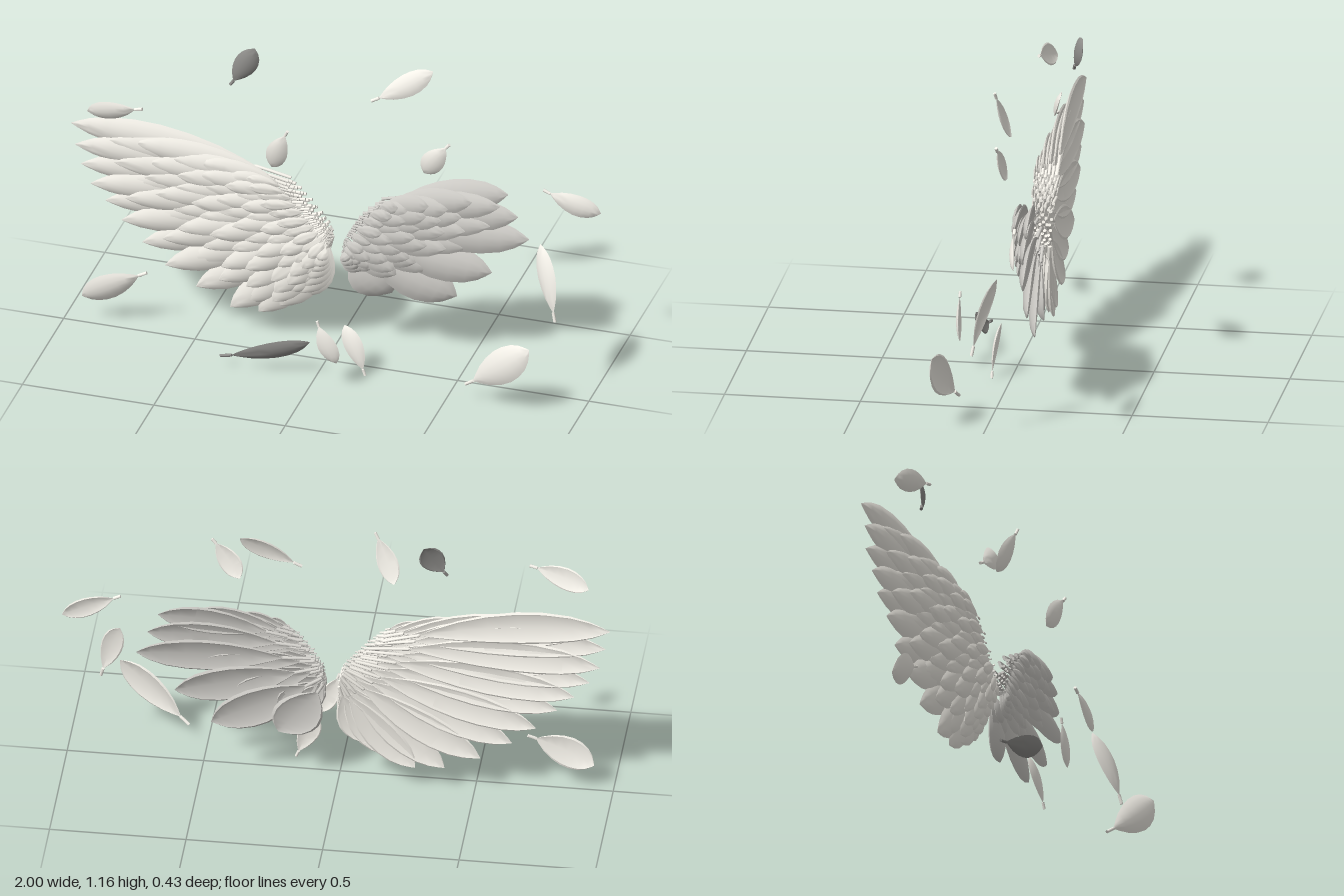
import * as THREE from 'three';
import { toCreasedNormals } from 'three/addons/utils/BufferGeometryUtils.js';

const V = (x, y, z = 0) => new THREE.Vector3(x, y, z);
const lerp = THREE.MathUtils.lerp;
const paint = (color) => new THREE.MeshStandardMaterial({ color, side: THREE.DoubleSide });
const white = paint(0xf5f2ea), pale = paint(0xcfcdc8), grey = paint(0x8e8d8a);

// Blade outline: position along the blade, share of the half width
const OUTLINE = [[0, 0.06], [0.07, 0.28], [0.2, 0.62], [0.36, 0.88], [0.52, 1], [0.66, 0.97],
  [0.8, 0.8], [0.9, 0.52], [0.96, 0.24], [1, 0.01]];
// Cross-section: domed front, dished back inside a thin rim
const SECTION = [[1, 0], [0.8, 0.15], [0.45, 0.34], [0, 0.42], [-0.45, 0.34], [-0.8, 0.15], [-1, 0],
  [-0.88, -0.1], [-0.75, -0.02], [0, 0.12], [0.75, -0.02], [0.88, -0.1]];

// Feather along +y with its front facing +z
function featherGeometry(length, width, quill, bend, bow) {
  const r = Math.min(0.006, width * 0.07);
  const rings = [[0, 0.0005, true], [0, r, true], [quill * 0.5, r, true], [quill * 0.95, r, true]];
  for (const [t, w] of OUTLINE) rings.push([lerp(quill, 1, t), Math.max(w * width / 2, 0.001), false]);
  const pos = [], index = [], n = SECTION.length;
  rings.forEach(([t, w, round], i) => {
    const arc = 4 * t * (1 - t);
    SECTION.forEach(([u, v], j) => {
      const a = (j / n) * Math.PI * 2;
      const x = round ? Math.cos(a) * w : u * w;
      const z = round ? Math.sin(a) * w : v * w * 0.75;
      pos.push(x + arc * bend * length, t * length, z + arc * bow * length);
      if (i === rings.length - 1) return;
      const p = i * n + j, q = i * n + (j + 1) % n;
      index.push(p, p + n, q, q, p + n, q + n);
    });
  });
  const g = new THREE.BufferGeometry();
  g.setAttribute('position', new THREE.Float32BufferAttribute(pos, 3));
  g.setIndex(index);
  return toCreasedNormals(g, 0.7);
}

// Feather from its quill end to its tip, rolled about its own length
function feather(name, material, from, to, width, { roll, quill, bend, bow }) {
  const y = to.clone().sub(from), length = y.length();
  y.normalize();
  const z = V(0, 0, 1).addScaledVector(y, -y.z).normalize().applyAxisAngle(y, roll);
  const x = y.clone().cross(z);
  const mesh = new THREE.Mesh(featherGeometry(length, width, quill, bend, bow), material);
  mesh.quaternion.setFromRotationMatrix(new THREE.Matrix4().makeBasis(x, y, z));
  mesh.position.copy(from);
  mesh.name = name;
  return mesh;
}

// Wing: overlapping rows of feathers fanned between a leading edge and an outline of tips.
// Pairs in a row run from the top feather to the bottom one; z runs from base to tip.
function wing(name, material, edge, tips, rows, bends, roll) {
  const group = new THREE.Group();
  group.name = name;
  const base = new THREE.CatmullRomCurve3(edge), outline = new THREE.CatmullRomCurve3(tips);
  rows.forEach((row, k) => {
    for (let i = 0; i < row.count; i++) {
      const s = Math.min(1, (i + (k % 2) * 0.4) / (row.count - 1));
      const a = base.getPoint(s), b = outline.getPoint(s);
      const jag = k ? 1 + 0.04 * Math.sin(i * 2.4 + k) : 1;
      const tip = a.clone().lerp(b, lerp(row.reach[0], row.reach[1], s) * jag);
      const shift = (i % 2) * 0.006;
      a.z = row.z[0] + shift;
      tip.z = row.z[1] + shift;
      group.add(feather(k ? 'covertFeather' : 'flightFeather', material, a, tip,
        lerp(row.width[0], row.width[1], s),
        { roll, quill: k ? 0.13 : 0.17, bend: lerp(bends[0], bends[1], s), bow: 0.01 }));
    }
  });
  return group;
}

export function createModel() {
  const model = new THREE.Group();
  model.name = 'wingsAndFeathers';

  // Large spread wing
  model.add(wing('rightWing', white,
    [V(-0.17, 0.675), V(-0.11, 0.62), V(-0.05, 0.55), V(-0.015, 0.5), V(-0.01, 0.46)],
    [V(-1, 0.775), V(-0.95, 0.58), V(-0.82, 0.42), V(-0.62, 0.23), V(-0.32, 0.1), V(-0.13, 0.2)],
    [
      { reach: [1, 1], count: 13, width: [0.135, 0.125], z: [-0.115, -0.09] },
      { reach: [0.83, 0.88], count: 12, width: [0.125, 0.11], z: [-0.1, -0.078] },
      { reach: [0.68, 0.75], count: 12, width: [0.115, 0.1], z: [-0.086, -0.066] },
      { reach: [0.54, 0.62], count: 12, width: [0.105, 0.085], z: [-0.074, -0.055] },
      { reach: [0.41, 0.48], count: 12, width: [0.09, 0.07], z: [-0.062, -0.046] },
      { reach: [0.29, 0.35], count: 12, width: [0.07, 0.06], z: [-0.05, -0.037] },
      { reach: [0.18, 0.22], count: 12, width: [0.05, 0.045], z: [-0.04, -0.03] },
    ], [0.035, -0.06], -0.07));

  // Small wing with broad flight feathers and scale-like coverts
  model.add(wing('leftWing', pale,
    [V(0.18, 0.655), V(0.12, 0.6), V(0.08, 0.54), V(0.055, 0.49), V(0.05, 0.45)],
    [V(0.65, 0.735), V(0.69, 0.65), V(0.73, 0.56), V(0.59, 0.4), V(0.455, 0.275), V(0.21, 0.25)],
    [
      { reach: [1, 1], count: 6, width: [0.125, 0.185], z: [-0.1, -0.135] },
      { reach: [0.93, 0.5], count: 6, width: [0.11, 0.1], z: [-0.088, -0.105] },
      { reach: [0.72, 0.46], count: 7, width: [0.105, 0.1], z: [-0.074, -0.075] },
      { reach: [0.57, 0.4], count: 8, width: [0.095, 0.085], z: [-0.062, -0.055] },
      { reach: [0.43, 0.33], count: 8, width: [0.085, 0.07], z: [-0.052, -0.045] },
      { reach: [0.3, 0.25], count: 8, width: [0.065, 0.06], z: [-0.042, -0.036] },
      { reach: [0.18, 0.17], count: 8, width: [0.05, 0.045], z: [-0.034, -0.03] },
    ], [-0.015, 0.05], -0.14));

  // Loose feathers: quill end, tip, width, roll, material
  const loose = new THREE.Group();
  loose.name = 'looseFeathers';
  [
    [V(-0.41, 1.01, -0.14), V(-0.33, 1.15, -0.185), 0.09, 0.3, grey],
    [V(0.12, 1.02, -0.165), V(0.34, 1.155, -0.212), 0.085, -0.2, white],
    [V(-0.69, 0.955, 0.035), V(-0.91, 0.89, 0), 0.085, -0.25, white],
    [V(-0.115, 1, 0.105), V(-0.19, 0.81, 0.055), 0.08, 0, white],
    [V(0.47, 0.99, 0.005), V(0.365, 0.84, -0.02), 0.085, 0, white],
    [V(0.79, 0.79, -0.115), V(1, 0.71, -0.145), 0.085, -0.1, white],
    [V(0.88, 0.33, 0.03), V(0.8, 0.6, -0.05), 0.085, -0.35, white],
    [V(0.57, 0.07, 0.125), V(0.83, 0.29, 0.185), 0.13, -0.25, white],
    [V(-0.69, 0.237, -0.02), V(-0.93, 0.11, 0), 0.115, -0.3, white],
    [V(-0.355, 0.045, 0.155), V(-0.015, 0.16, 0.155), 0.085, 0.4, grey],
    [V(0.03, 0.285, 0.208), V(0.1, 0.115, 0.198), 0.075, 0, white],
    [V(0.17, 0.005, 0.07), V(0.085, 0.19, 0.047), 0.075, 0, white],
  ].forEach(([from, to, width, roll, material]) =>
    loose.add(feather('looseFeather', material, from, to, width, { roll, quill: 0.13, bend: 0.02, bow: 0.02 })));
  model.add(loose);
  return model;
}
